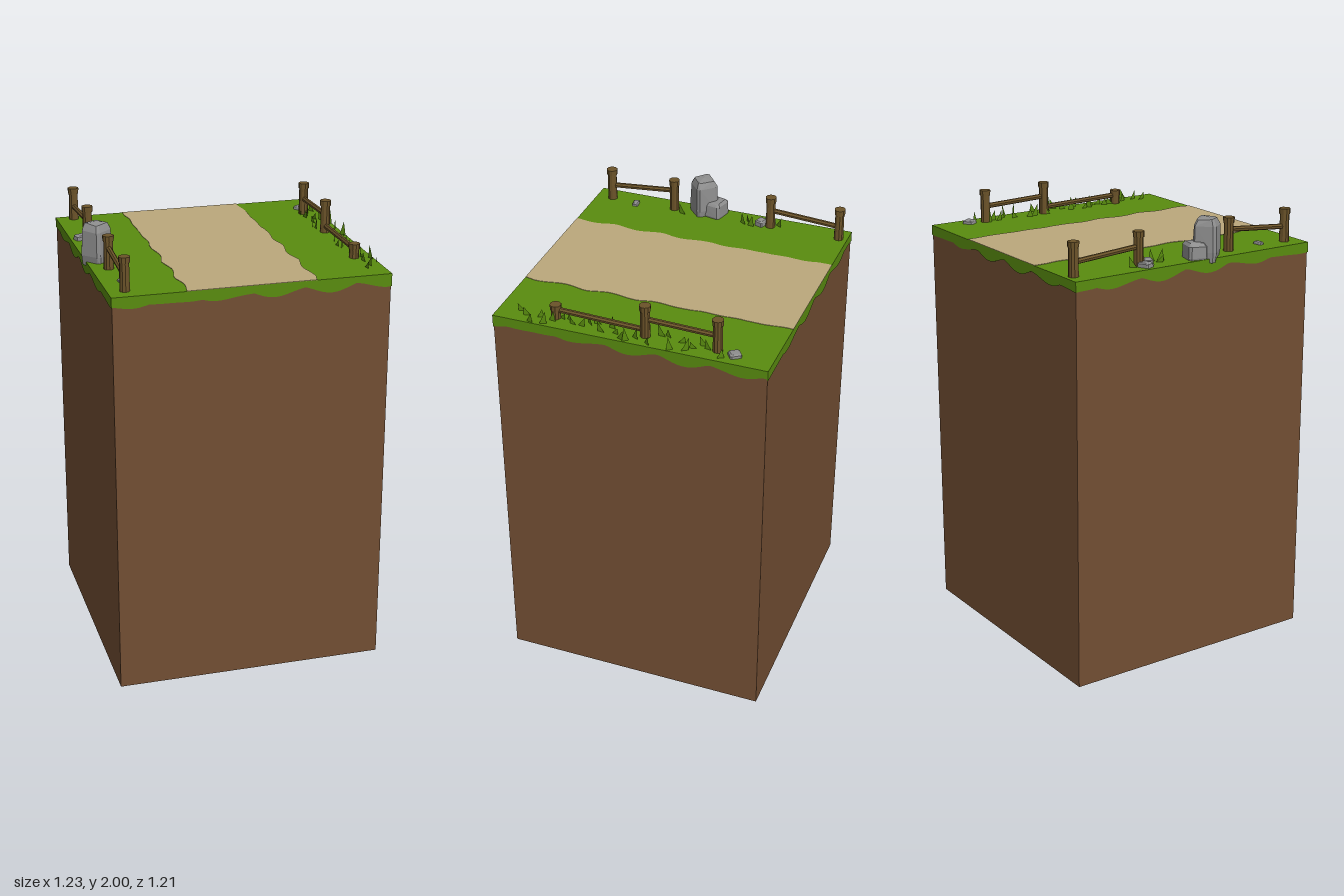
import * as THREE from 'three';
import { ConvexGeometry } from 'three/addons/geometries/ConvexGeometry.js';

const HALF = 0.604, TOP = 1.828;

function material(name, color, extra = {}) {
  const m = new THREE.MeshStandardMaterial({ color, ...extra });
  m.name = name;
  return m;
}

// Small seeded generator for irregular shapes
function seeded(seed) {
  let s = seed * 7919 + 13;
  return () => (s = (s * 16807) % 2147483647) / 2147483647;
}

export function createModel() {
  const root = new THREE.Group();
  root.name = 'pathTile';
  const soil = material('soil brown', 0x724e33);
  const grass = material('grass green', 0x598c0f, { side: THREE.DoubleSide });
  const sand = material('path tan', 0xbba87c);
  const wood = material('fence wood', 0x6b5329);
  const stone = material('stone grey', 0x8e8e8e);
  wood.flatShading = stone.flatShading = true;

  function add(name, geometry, mat, x = 0, y = 0, z = 0, parent = root) {
    const mesh = new THREE.Mesh(geometry, mat);
    mesh.name = name;
    mesh.position.set(x, y, z);
    parent.add(mesh);
    return mesh;
  }

  // Earth block and turf
  add('soilBlock', new THREE.BoxGeometry(HALF * 2, 1.81, HALF * 2), soil, 0, 0.905, 0);
  add('turf', new THREE.BoxGeometry(1.214, 0.028, 1.214), grass, 0, TOP - 0.014, 0);

  // Ragged grass fringe hanging over each side
  for (let side = 0; side < 4; side++) {
    const shape = new THREE.Shape();
    shape.moveTo(-0.607, TOP);
    for (let i = 0; i <= 60; i++) {
      const t = -0.607 + (1.214 * i) / 60;
      const drop = 0.034 + 0.018 * Math.abs(Math.sin(t * 14 + side * 1.3))
        + 0.008 * Math.sin(t * 23 + side * 2);
      shape.lineTo(t, TOP - drop);
    }
    shape.lineTo(0.607, TOP);
    const geo = new THREE.ExtrudeGeometry(shape, { depth: 0.004, bevelEnabled: false });
    geo.translate(0, 0, 0.603);
    add('grassFringe', geo, grass).rotation.y = (side * Math.PI) / 2;
  }

  // Sandy path with uneven borders
  const path = new THREE.Shape();
  const edge = (t, k) => 0.01 * Math.abs(Math.sin(t * 13 + k)) + 0.005 * Math.sin(t * 31 + k * 2);
  const steps = 70;
  for (let i = 0; i <= steps; i++) {
    const t = -0.607 + (1.214 * i) / steps;
    const x = 0.283 - edge(t, 1);
    if (i === 0) path.moveTo(x, t); else path.lineTo(x, t);
  }
  for (let i = steps; i >= 0; i--) {
    const t = -0.607 + (1.214 * i) / steps;
    path.lineTo(-0.291 + edge(t, 2.4), t);
  }
  const pathGeo = new THREE.ExtrudeGeometry(path, { depth: 0.003, bevelEnabled: false });
  pathGeo.rotateX(-Math.PI / 2);
  add('path', pathGeo, sand, 0, TOP - 0.001, 0);

  // Fence posts with a wider head, joined by sloping rails
  function post(x, z, top) {
    const g = new THREE.Group();
    g.name = 'fencePost';
    const h = top - TOP;
    add('postShaft', new THREE.CylinderGeometry(0.02, 0.022, h, 10), wood, x, TOP + h / 2, z, g);
    add('postHead', new THREE.CylinderGeometry(0.025, 0.024, 0.025, 10), wood, x, top - 0.0125, z, g);
    root.add(g);
  }
  function rail(x1, y1, z1, x2, y2, z2) {
    const a = new THREE.Vector3(x1, y1, z1), b = new THREE.Vector3(x2, y2, z2);
    const dir = b.clone().sub(a);
    const mesh = add('fenceRail', new THREE.CylinderGeometry(0.012, 0.012, dir.length(), 7), wood);
    mesh.position.copy(a).add(b).multiplyScalar(0.5);
    mesh.quaternion.setFromUnitVectors(new THREE.Vector3(0, 1, 0), dir.normalize());
  }
  for (const [x, z, top] of [[-0.528, -0.567, 1.976], [-0.528, -0.245, 1.976], [-0.533, 0.222, 1.976],
    [-0.533, 0.53, 1.976], [0.532, -0.367, 1.976], [0.532, -0.052, 1.976], [0.528, 0.35, 1.892]]) post(x, z, top);
  rail(-0.528, 1.888, -0.567, -0.528, 1.91, -0.245);
  rail(-0.533, 1.922, 0.222, -0.533, 1.895, 0.53);
  rail(0.532, 1.9, -0.367, 0.532, 1.91, -0.052);
  rail(0.532, 1.858, -0.052, 0.528, 1.868, 0.35);

  // Chiselled stones: rings of a clipped square, wrapped in a hull
  function rock(name, x, y, z, w, h, d, turn, seed) {
    const rnd = seeded(seed), pts = [];
    for (const [t, s] of [[0, 0.9], [0.25, 1], [0.85, 0.95], [1, 0.72]]) {
      for (let i = 0; i < 4; i++) {
        for (const off of [-0.13, 0.13]) {
          const a = Math.PI / 4 + (i * Math.PI) / 2 + off;
          const r = s * (0.66 + 0.07 * rnd());
          pts.push(new THREE.Vector3(Math.cos(a) * r * w, (t - 0.06 * rnd() * t) * h, Math.sin(a) * r * d));
        }
      }
    }
    pts.push(new THREE.Vector3(0, h, 0));
    add(name, new ConvexGeometry(pts), stone, x, y, z).rotation.y = turn;
  }
  rock('tallStone', -0.556, 1.81, 0.086, 0.094, 0.19, 0.094, 0.72, 1);
  rock('leaningStone', -0.552, 1.815, 0.026, 0.088, 0.085, 0.078, -0.2, 2);
  rock('smallStone', -0.563, 1.815, -0.235, 0.05, 0.035, 0.04, 0.4, 3);
  rock('smallStone', -0.53, 1.815, -0.2, 0.045, 0.04, 0.038, -0.35, 4);
  rock('smallStone', -0.512, 1.815, 0.405, 0.04, 0.025, 0.025, 0.1, 5);
  rock('smallStone', 0.543, 1.815, -0.444, 0.046, 0.03, 0.046, 0.6, 6);

  // Upright pointed grass blades
  const rnd = seeded(21);
  function blade(x, z, h) {
    const lean = (rnd() - 0.5) * 0.04;
    const s = new THREE.Shape();
    s.moveTo(-0.016, 0);
    s.lineTo(0.016, 0);
    s.lineTo(lean, h);
    add('grassBlade', new THREE.ShapeGeometry(s), grass, x, TOP - 0.002, z).rotation.y =
      Math.PI / 2 + (rnd() - 0.5) * 1.6;
  }
  for (let i = 0; i < 30; i++) {
    blade(0.5 + 0.1 * rnd(), 0.5 - 0.031 * i + 0.01 * rnd(), 0.03 + 0.035 * rnd());
  }
  for (const [x, z] of [[-0.5, -0.16], [-0.53, -0.14], [-0.51, -0.12], [-0.5, 0.17], [-0.54, -0.28]]) {
    blade(x, z, 0.035 + 0.025 * rnd());
  }
  return root;
}
